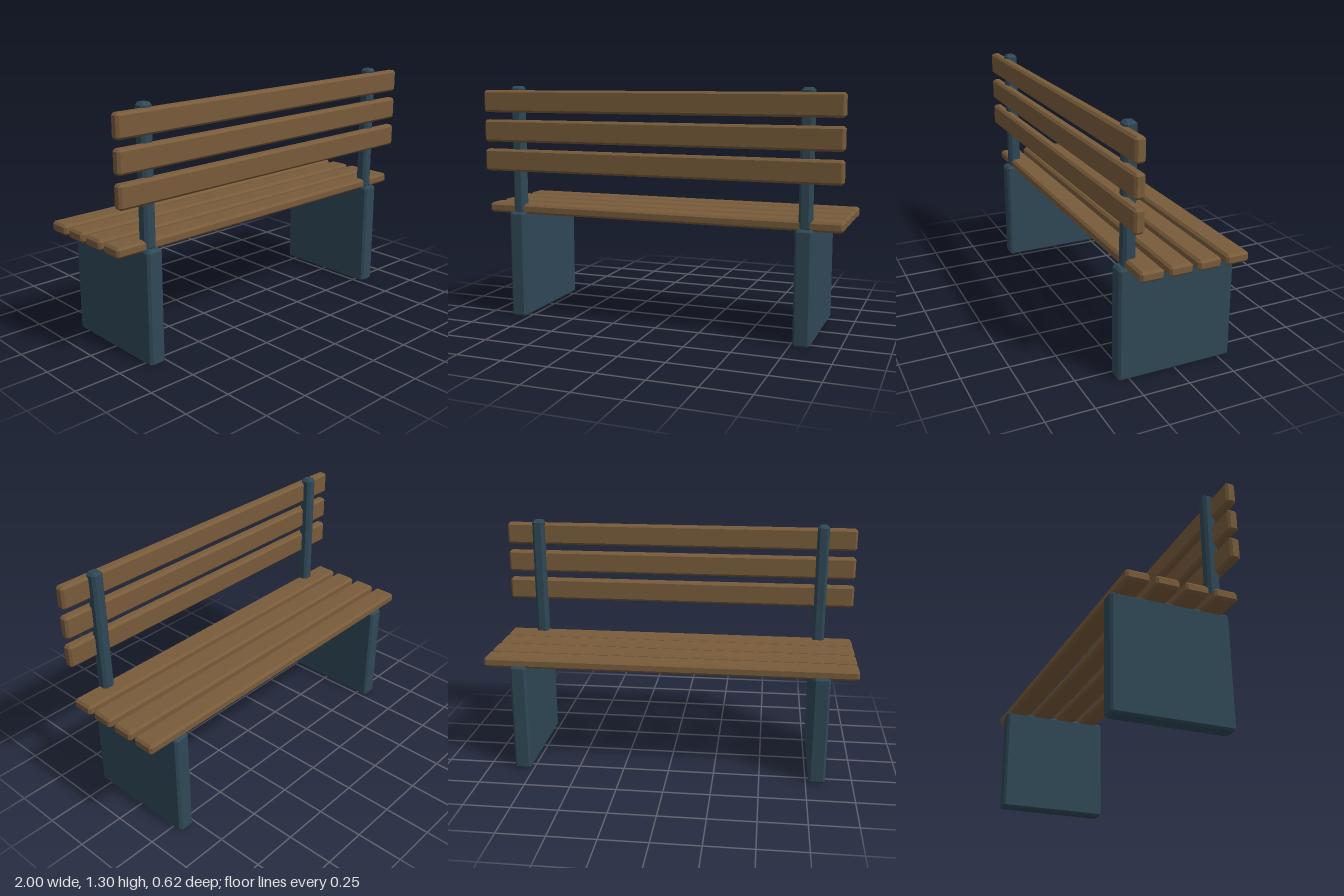
import * as THREE from 'three';
import { ConvexGeometry } from 'three/addons/geometries/ConvexGeometry.js';

// Box with a single flat chamfer along every edge
function chamferBox(w, h, d, bevel = 0.012) {
  const half = [w / 2, h / 2, d / 2];
  const points = [];
  for (const sx of [-1, 1]) for (const sy of [-1, 1]) for (const sz of [-1, 1]) {
    for (let axis = 0; axis < 3; axis++) {
      const p = [sx, sy, sz].map((s, i) => s * (half[i] - (i === axis ? 0 : bevel)));
      points.push(new THREE.Vector3(...p));
    }
  }
  return new ConvexGeometry(points);
}

export function createModel() {
  const bench = new THREE.Group();
  bench.name = 'bench';

  const wood = new THREE.MeshStandardMaterial({ color: 0x785b3a });
  wood.name = 'brown wood';
  const metal = new THREE.MeshStandardMaterial({ color: 0x2f4856 });
  metal.name = 'slate blue metal';

  function add(name, geometry, material, x, y, z) {
    const mesh = new THREE.Mesh(geometry, material);
    mesh.name = name;
    mesh.position.set(x, y, z);
    bench.add(mesh);
  }

  // Slab legs and the posts standing on them
  const leg = chamferBox(0.09, 0.6, 0.624);
  const post = chamferBox(0.066, 0.71, 0.066, 0.014);
  for (const [side, sign] of [['left', 1], ['right', -1]]) {
    add(`${side}Leg`, leg, metal, sign * 0.81, 0.3, 0);
    add(`${side}BackPost`, post, metal, sign * 0.81, 0.945, 0.251);
  }

  // Four seat slats
  const seatSlat = chamferBox(2, 0.054, 0.122);
  for (let i = 0; i < 4; i++) {
    add(`seatSlat${i + 1}`, seatSlat, wood, 0, 0.615, 0.215 - i * 0.151);
  }

  // Three backrest slats
  const backSlat = chamferBox(2, 0.122, 0.054);
  for (let i = 0; i < 3; i++) {
    add(`backSlat${i + 1}`, backSlat, wood, 0, 0.89 + i * 0.163, 0.284);
  }

  return bench;
}
